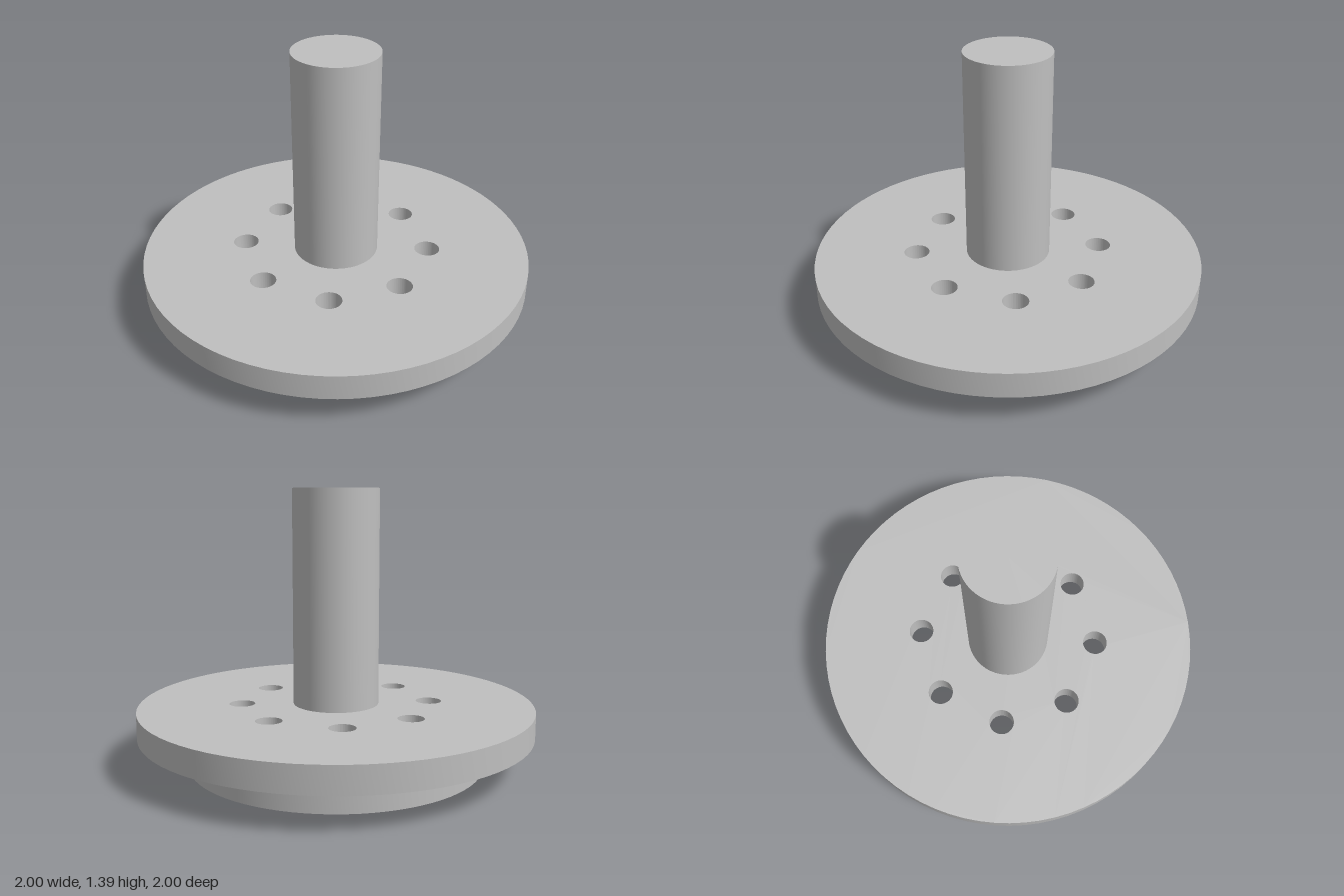
import * as THREE from 'three';
import { toCreasedNormals } from 'three/addons/utils/BufferGeometryUtils.js';

const RIM_HEIGHT = 0.175;
const PLATE_TOP = 0.305;
const SHAFT_TOP = 1.39;

// Upright disc from y0 to y1, with round holes given as [x, z, radius]
function disc(radius, y0, y1, holes) {
  const shape = new THREE.Shape().absarc(0, 0, radius, 0, Math.PI * 2, false);
  for (const [x, z, r] of holes) {
    shape.holes.push(new THREE.Path().absarc(x, -z, r, 0, Math.PI * 2, true));
  }
  const geometry = new THREE.ExtrudeGeometry(shape, {
    depth: y1 - y0, bevelEnabled: false, curveSegments: 40,
  });
  geometry.rotateX(-Math.PI / 2).translate(0, y0, 0);
  return toCreasedNormals(geometry, 0.6);
}

export function createModel() {
  const model = new THREE.Group();
  model.name = 'flangedShaft';

  const steel = new THREE.MeshStandardMaterial({ color: 0xbfbfbf });
  steel.name = 'grey steel';

  const add = (name, geometry) => {
    const mesh = new THREE.Mesh(geometry, steel);
    mesh.name = name;
    model.add(mesh);
  };

  // Flange plate with a circle of eight bolt holes
  const boltHoles = [];
  for (let i = 0; i < 8; i++) {
    const a = (i * Math.PI) / 4;
    boltHoles.push([0.478 * Math.cos(a), 0.478 * Math.sin(a), 0.065]);
  }
  add('flangePlate', disc(1, RIM_HEIGHT, PLATE_TOP, boltHoles));

  // Hollow locating rim below the plate
  add('locatingRim', disc(0.752, 0, RIM_HEIGHT, [[0, 0, 0.675]]));

  // Central shaft, its foot sunk slightly into the plate
  const foot = PLATE_TOP - 0.02;
  const shaft = new THREE.CylinderGeometry(0.217, 0.217, SHAFT_TOP - foot, 72);
  shaft.translate(0, (SHAFT_TOP + foot) / 2, 0);
  add('shaft', shaft);

  return model;
}
